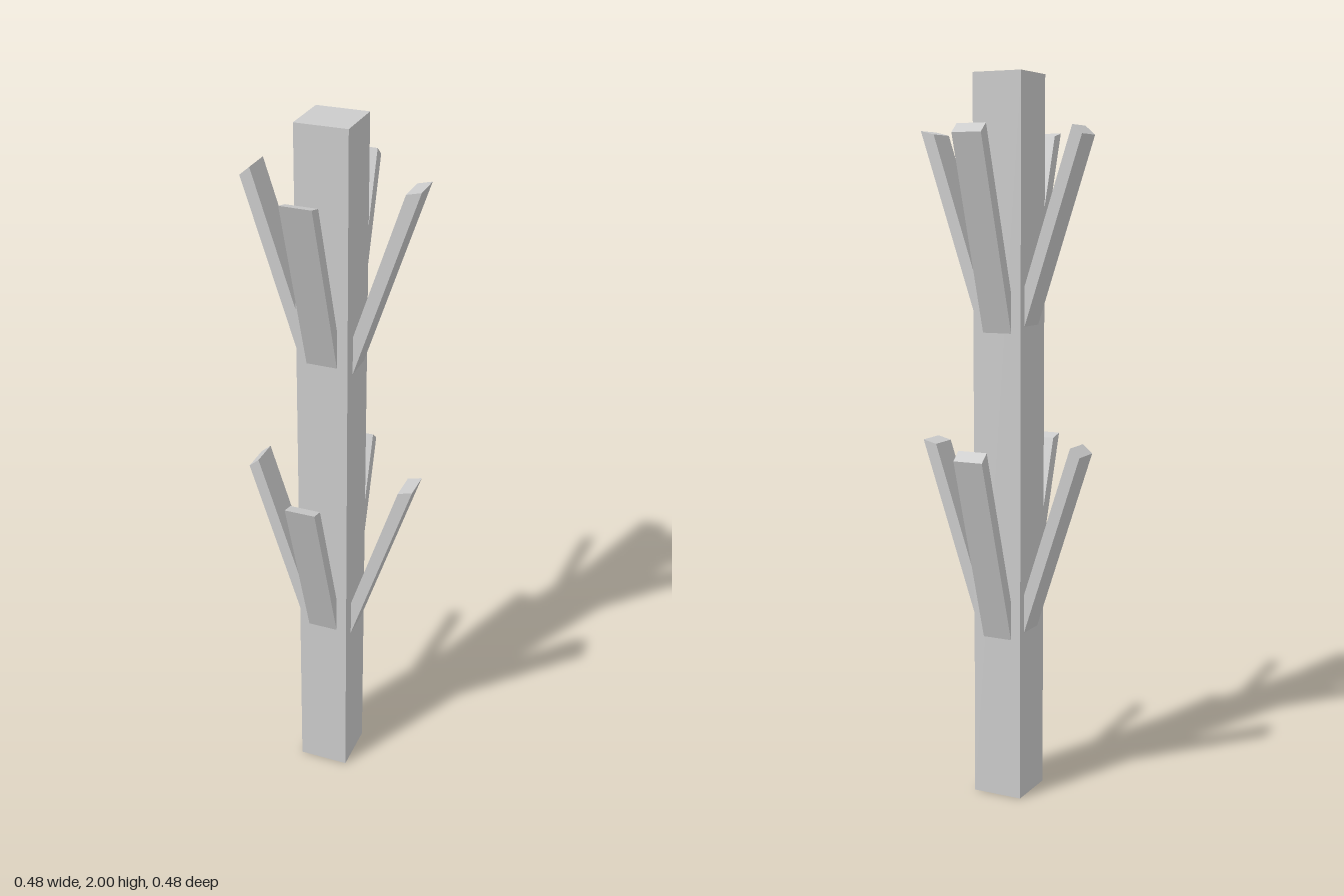
import * as THREE from 'three';

// Blade side profiles: [distance from axis, height], root sunk into the post
const LEANING_OUT = [[0.04, 1.25], [0.24, 1.852], [0.2, 1.842], [0.04, 1.357]];
const CHISEL_TOP = [[0.04, 1.217], [0.241, 1.835], [0.213, 1.859], [0.04, 1.325]];

// Extrudes a profile across the blade width; sign picks the side of the axis
function bladeGeometry(profile, sign, along) {
  const shape = new THREE.Shape(profile.map(([d, y]) => new THREE.Vector2(sign * d, y)));
  const geometry = new THREE.ExtrudeGeometry(shape, { depth: 0.085, bevelEnabled: false });
  if (along === 'z') {
    geometry.translate(0, 0, -0.037);
    geometry.rotateY(-Math.PI / 2);
  } else {
    geometry.translate(0, 0, -0.047);
  }
  return geometry;
}

export function createModel() {
  const model = new THREE.Group();
  model.name = 'bladedPost';
  const material = new THREE.MeshStandardMaterial({ color: 0xcccccc, flatShading: true });

  function add(parent, geometry, name) {
    const mesh = new THREE.Mesh(geometry, material);
    mesh.name = name;
    parent.add(mesh);
    return mesh;
  }

  // Square post
  add(model, new THREE.BoxGeometry(0.143, 2, 0.147), 'post').position.set(-0.005, 1, 0.003);

  // Two tiers of four upward-slanting blades
  const blades = [
    ['leftBlade', LEANING_OUT, 1, 'x'],
    ['rightBlade', CHISEL_TOP, -1, 'x'],
    ['frontBlade', LEANING_OUT, 1, 'z'],
    ['backBlade', CHISEL_TOP, -1, 'z'],
  ];
  for (const [tierName, drop] of [['upperTier', 0], ['lowerTier', 0.852]]) {
    const tier = new THREE.Group();
    tier.name = tierName;
    tier.position.y = -drop;
    for (const [name, profile, sign, along] of blades) {
      add(tier, bladeGeometry(profile, sign, along), name);
    }
    model.add(tier);
  }
  return model;
}
